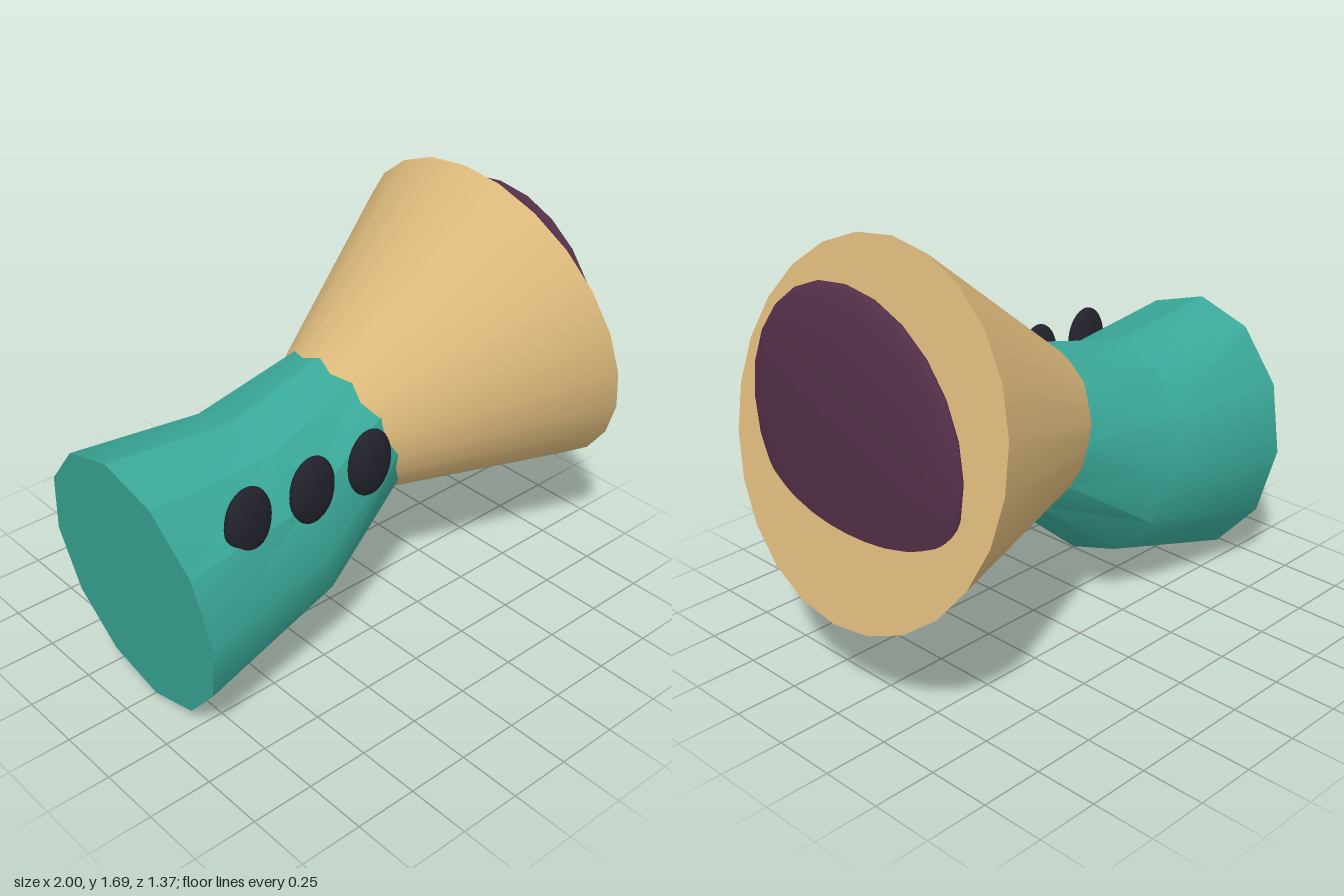
import * as THREE from 'three';
import { toCreasedNormals } from 'three/addons/utils/BufferGeometryUtils.js';

const material = (name, color) => {
  const m = new THREE.MeshStandardMaterial({ color });
  m.name = name;
  return m;
};

// Closed tube through tilted elliptical rings: [topX, topY, bottomX, bottomY, halfDepth]
function ringTube(rings, sides) {
  const positions = [], index = [];
  for (const [tx, ty, bx, by, depth] of rings) {
    for (let j = 0; j < sides; j++) {
      const a = (j / sides) * Math.PI * 2;
      const t = (1 + Math.cos(a)) / 2;
      positions.push(bx + (tx - bx) * t, by + (ty - by) * t, depth * Math.sin(a));
    }
  }
  const last = (rings.length - 1) * sides;
  for (let j = 0; j < sides; j++) {
    const k = (j + 1) % sides;
    for (let r = 0; r < last; r += sides) {
      index.push(r + j, r + k, r + sides + j, r + k, r + sides + k, r + sides + j);
    }
    // Flat end caps, fanned from the first vertex
    if (j > 0 && k > 0) index.push(0, k, j, last, last + j, last + k);
  }
  const g = new THREE.BufferGeometry();
  g.setAttribute('position', new THREE.Float32BufferAttribute(positions, 3));
  g.setIndex(index);
  return toCreasedNormals(g, Math.PI / 6);
}

export function createModel() {
  const group = new THREE.Group();
  const teal = material('teal', 0x3aa999);
  const tan = material('tan', 0xdbb87b);
  const plum = material('plum', 0x55304a);
  const black = material('black', 0x22222c);

  const add = (name, geometry, mat, x = 0, y = 0, z = 0) => {
    const mesh = new THREE.Mesh(geometry, mat);
    mesh.name = name;
    mesh.position.set(x, y, z);
    group.add(mesh);
    return mesh;
  };

  // Bent, tapering body
  add('body', ringTube([
    [-1.0, 1.072, -0.865, 0.0, 0.47],
    [-0.48, 1.02, -0.23, 0.2, 0.4],
    [-0.02, 1.135, 0.17, 0.54, 0.315],
  ], 12), teal);

  // Flared cone, its narrow end sunk into the body
  const length = 0.9, tilt = THREE.MathUtils.degToRad(14);
  const cone = add('flaredCone', new THREE.CylinderGeometry(0.683, 0.278, length, 24), tan,
    0.83 - Math.cos(tilt) * length / 2, 1.027 - Math.sin(tilt) * length / 2, 0);
  cone.rotation.z = tilt - Math.PI / 2;

  // Upright lens half sunk into the cone face
  const lens = new THREE.SphereGeometry(0.537, 24, 24);
  lens.rotateZ(Math.PI / 2);
  lens.scale(0.06 / 0.537, 1, 1);
  add('lens', lens, plum, 0.87, 1.035, 0);

  // Row of oval buttons
  [-0.68, -0.395, -0.125].forEach((x, i) => {
    const button = new THREE.SphereGeometry(1, 24, 16);
    button.scale(0.098, 0.135, 0.043);
    add('button' + (i + 1), button, black, x, 0.88, 0.355);
  });

  return group;
}
